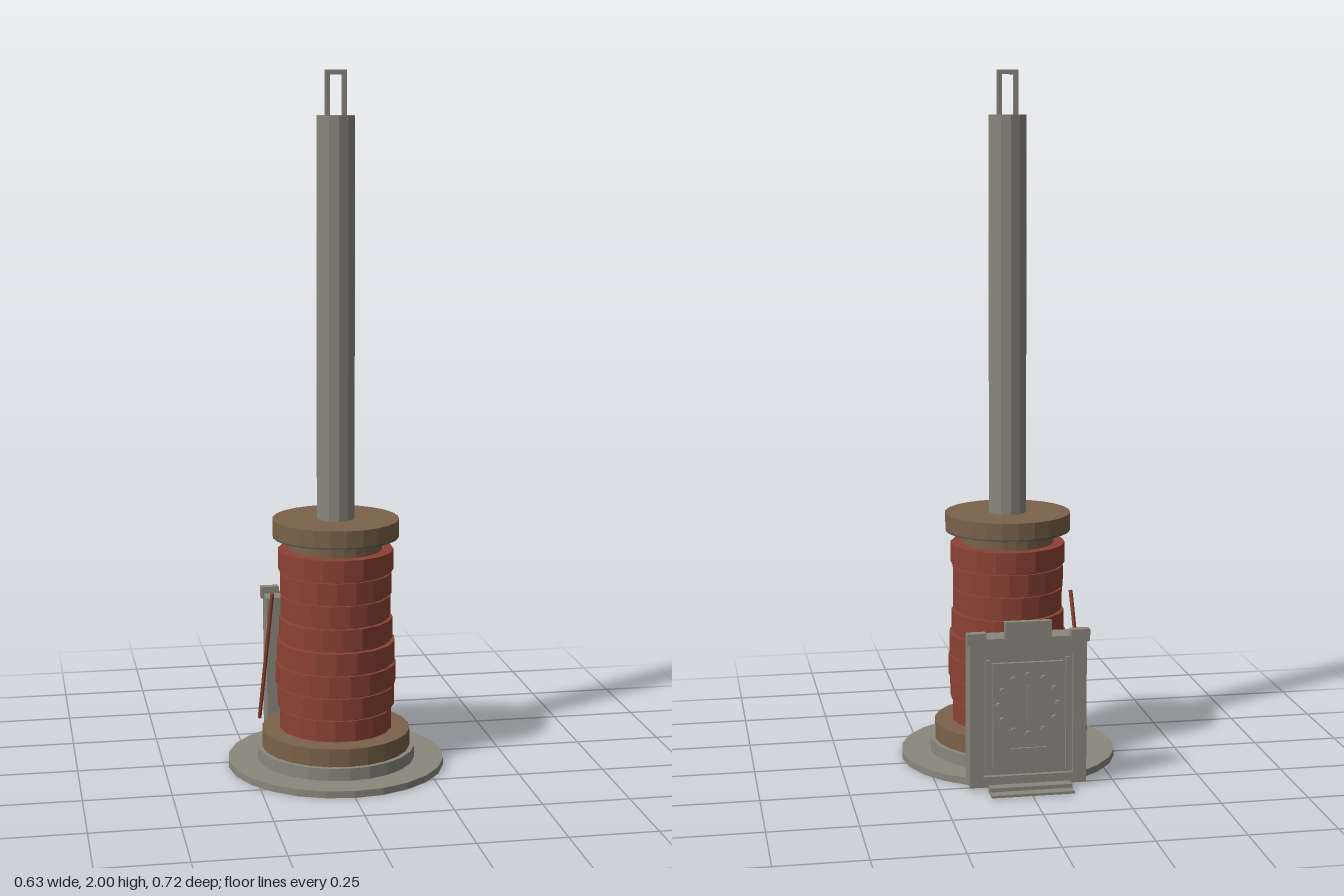
import * as THREE from 'three';

export function createModel() {
  const root = new THREE.Group();
  const mat = (name, color) => {
    const m = new THREE.MeshStandardMaterial({ color, flatShading: true });
    m.name = name;
    return m;
  };
  const metal = mat('weathered metal', 0x8a877c);
  const wood = mat('wood', 0x7a6249);
  const copper = mat('copper winding', 0x8c4234);
  const slate = mat('dark slate', 0x4a5653);
  const CZ = 0.045; // axis of the coil and mast

  const add = (name, geo, material, x, y, z, parent = root) => {
    const m = new THREE.Mesh(geo, material);
    m.name = name;
    m.position.set(x, y, z);
    parent.add(m);
    return m;
  };
  const disc = (name, r, y0, y1, material, sides = 24) =>
    add(name, new THREE.CylinderGeometry(r, r, y1 - y0, sides).rotateY(Math.PI / 2), material, 0, (y0 + y1) / 2, CZ);
  // box from its extents
  const box = (name, x0, x1, y0, y1, z0, z1, material = metal, parent = root) =>
    add(name, new THREE.BoxGeometry(x1 - x0, y1 - y0, z1 - z0), material,
      (x0 + x1) / 2, (y0 + y1) / 2, (z0 + z1) / 2, parent);

  // Stepped base
  disc('groundPlate', 0.315, 0, 0.02, metal);
  disc('baseRing', 0.23, 0.02, 0.056, metal);
  disc('lowerFlange', 0.216, 0.056, 0.108, wood);

  // Winding: stacked bands around a core
  disc('core', 0.134, 0.108, 0.68, wood);
  const radii = [0.164, 0.17, 0.175, 0.173, 0.165, 0.16, 0.163, 0.167];
  const pitch = 0.067;
  radii.forEach((r, i) => {
    const y = 0.108 + i * pitch;
    const band = disc('windingBand', r, y + 0.004, y + pitch - 0.003, copper, 18);
    band.rotation.y = i * 0.12;
    if (i) disc('windingGap', Math.min(r, radii[i - 1]) - 0.007, y - 0.004, y + 0.005, copper, 18);
  });

  // Upper flange with a dark underside
  disc('upperFlange', 0.183, 0.682, 0.73, wood);
  disc('flangeUnderside', 0.182, 0.677, 0.682, slate);

  // Mast and lifting loop
  disc('mast', 0.055, 0.73, 1.875, metal, 12);
  const loop = new THREE.Group();
  loop.name = 'liftingLoop';
  root.add(loop);
  for (const s of [-1, 1]) {
    const x = s * 0.0235;
    box('loopPost', x - 0.0065, x + 0.0065, 1.87, 2, CZ - 0.008, CZ + 0.008, metal, loop);
  }
  box('loopBar', -0.017, 0.017, 1.987, 2, CZ - 0.008, CZ + 0.008, metal, loop);

  // Loose wire end leaning on the winding
  const a = new THREE.Vector3(-0.205, 0.1, -0.095);
  const b = new THREE.Vector3(-0.177, 0.5, -0.01);
  const wire = add('wireEnd', new THREE.CylinderGeometry(0.006, 0.006, a.distanceTo(b), 6), copper, 0, 0, 0);
  wire.position.copy(a).lerp(b, 0.5);
  wire.quaternion.setFromUnitVectors(new THREE.Vector3(0, 1, 0), b.clone().sub(a).normalize());

  // Control cabinet at the back
  const cabinet = new THREE.Group();
  cabinet.name = 'controlCabinet';
  root.add(cabinet);
  const cab = (name, ...e) => box(name, ...e, metal, cabinet);
  cab('cabinetBody', -0.166, 0.166, 0.01, 0.435, -0.27, -0.205);
  for (const s of [-1, 1]) {
    cab('cabinetStile', s * 0.147 - 0.019, s * 0.147 + 0.019, 0.01, 0.42, -0.284, -0.268);
    cab('cornerBlock', s * 0.147 - 0.027, s * 0.147 + 0.027, 0.42, 0.455, -0.29, -0.265);
    cab('trimUpright', s * 0.114 - 0.006, s * 0.114 + 0.006, 0.05, 0.375, -0.28, -0.268);
  }
  cab('cabinetTopRail', -0.128, 0.128, 0.385, 0.437, -0.284, -0.268);
  cab('cabinetBottomRail', -0.128, 0.128, 0.01, 0.04, -0.284, -0.268);
  cab('topTab', -0.066, 0.066, 0.43, 0.483, -0.285, -0.266);
  cab('dialPlate', -0.1, 0.1, 0.065, 0.365, -0.282, -0.268);

  // Dial: ring of studs, pointer and slot
  const dialY = 0.245, dialR = 0.085;
  for (let i = 0; i < 12; i++) {
    const t = (i / 12) * Math.PI * 2;
    add('dialStud', new THREE.CylinderGeometry(0.009, 0.009, 0.012, 8).rotateX(Math.PI / 2), metal,
      Math.sin(t) * dialR, dialY + Math.cos(t) * dialR, -0.286, cabinet);
  }
  cab('dialPointer', -0.004, 0.004, dialY - 0.055, dialY + 0.055, -0.288, -0.281);
  cab('dialSlot', -0.05, 0.05, 0.112, 0.12, -0.288, -0.281);

  // Low step behind the cabinet
  box('stepRaised', -0.117, 0.117, 0.004, 0.022, -0.33, -0.3);
  box('stepPlate', -0.117, 0.117, 0.004, 0.011, -0.36, -0.33);

  return root;
}
